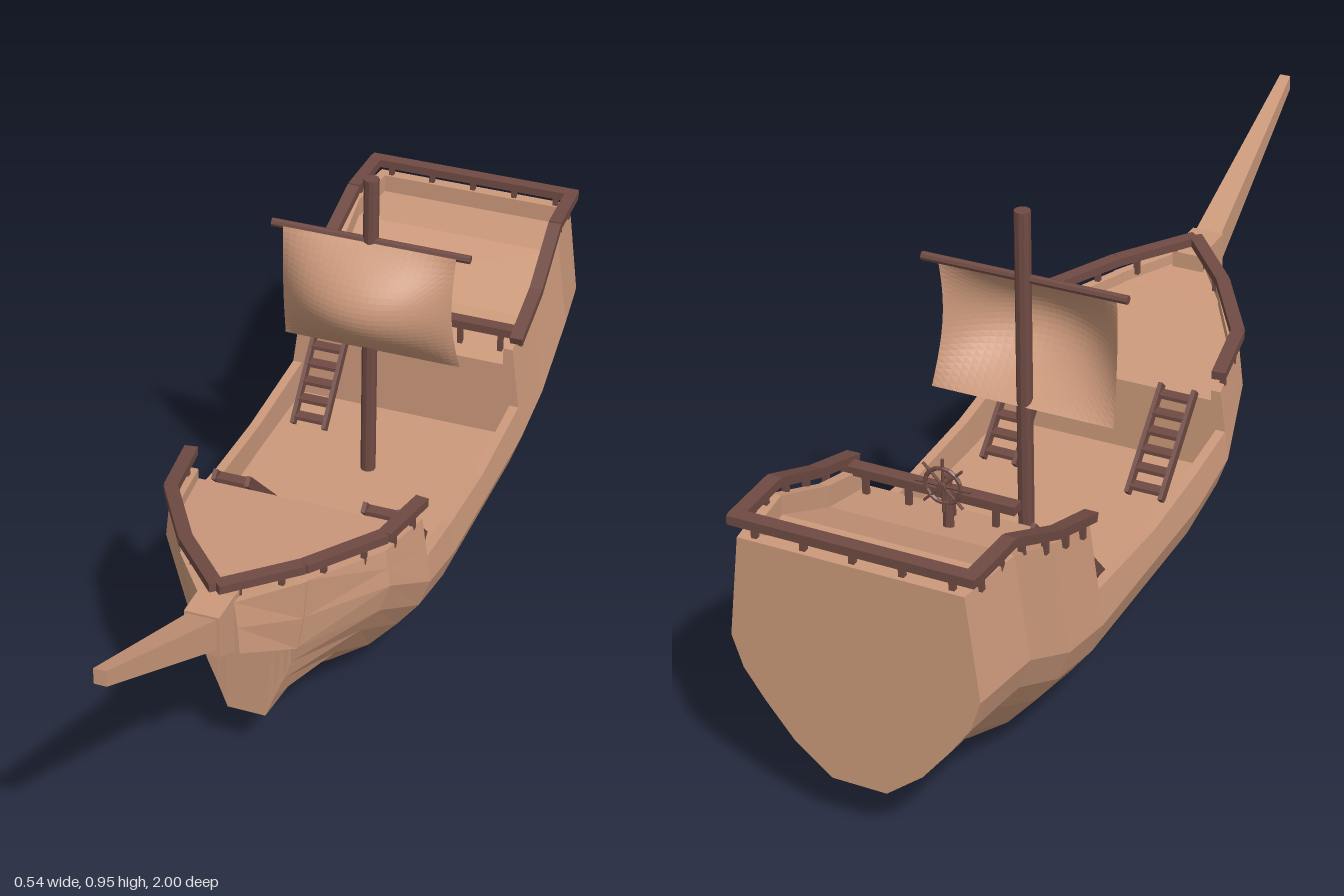
import * as THREE from 'three';

const wood = new THREE.MeshStandardMaterial({ color: 0xcc997b, side: THREE.DoubleSide, flatShading: true });
wood.name = 'tan wood';
const dark = new THREE.MeshStandardMaterial({ color: 0x6f4a43, flatShading: true });
dark.name = 'dark wood';

const V = (x, y, z) => new THREE.Vector3(x, y, z);

function add(parent, name, geometry, material, x = 0, y = 0, z = 0) {
  const m = new THREE.Mesh(geometry, material);
  m.name = name;
  m.position.set(x, y, z);
  parent.add(m);
  return m;
}

function group(parent, name) {
  const g = new THREE.Group();
  g.name = name;
  parent.add(g);
  return g;
}

// Square beam running from a to b
function beam(parent, name, a, b, w, h, material = dark) {
  const m = add(parent, name, new THREE.BoxGeometry(w, h, a.distanceTo(b)), material);
  m.position.copy(a).lerp(b, 0.5);
  m.lookAt(b);
  return m;
}

// Skin closed rings (ordered back to front) and cap both ends
function loft(rings) {
  const pos = [];
  const tri = (...p) => p.forEach(v => pos.push(v.x, v.y, v.z));
  const n = rings[0].length;
  for (let r = 0; r < rings.length - 1; r++) {
    const A = rings[r], B = rings[r + 1];
    for (let i = 0; i < n; i++) {
      const j = (i + 1) % n;
      tri(A[i], A[j], B[j]);
      tri(A[i], B[j], B[i]);
    }
  }
  const first = rings[0], last = rings[rings.length - 1];
  for (let i = 1; i < n - 1; i++) {
    tri(first[0], first[i + 1], first[i]);
    tri(last[0], last[i], last[i + 1]);
  }
  const g = new THREE.BufferGeometry();
  g.setAttribute('position', new THREE.Float32BufferAttribute(pos, 3));
  g.computeVertexNormals();
  return g;
}

// Mirror a half section (keel to deck) into a full ring
const ring = (half, z) => [
  ...half.map(([x, y]) => V(x, y, z)),
  ...half.slice().reverse().map(([x, y]) => V(-x, y, z)),
];
const boxRing = (z, w, y0, y1) => ring([[w, y0], [w, y1]], z);

// Hull section: curved bilge, bulwark top, inner wall and deck edge
const bilge = [[0.06, 0], [0.14, 0.06], [0.2, 0.13], [0.245, 0.19], [0.268, 0.255]];
const topWidth = h => 0.268 - 0.028 * Math.max(0, (h - 0.255) / 0.21);
function section([z, lift, scale, top, deck]) {
  const half = bilge.map(([x, y]) => [x * scale, y + lift]);
  const mid = (0.255 + lift + top) / 2;
  const w = topWidth(top - lift) * scale;
  half.push([topWidth(mid - lift) * scale, mid], [w, top], [w - 0.02, top], [w - 0.02, deck]);
  return ring(half, z);
}

function buildHull(ship) {
  // z, lift, width scale, bulwark top, deck height
  const stations = [
    [-1, 0.115, 0.92, 0.58, 0.58], [-0.975, 0.115, 0.935, 0.58, 0.58],
    [-0.975, 0.115, 0.935, 0.58, 0.54], [-0.85, 0.115, 1, 0.58, 0.54],
    [-0.69, 0.03, 1, 0.51, 0.465], [-0.545, 0, 1, 0.47, 0.43],
    [-0.545, 0, 1, 0.33, 0.255], [-0.3, 0, 1, 0.315, 0.255],
    [-0.1, 0, 1, 0.325, 0.255], [0.05, 0.03, 1, 0.345, 0.255],
    [0.05, 0.03, 1, 0.433, 0.41], [0.2, 0.115, 0.88, 0.452, 0.428],
  ].map(section);
  // Bow: flat stem plate, then a raked chin closing to the bowsprit
  const bowTop = [[0.122, 0.38], [0.13, 0.47], [0.11, 0.47], [0.11, 0.446]];
  const stem = [[0.04, 0.115], [0.06, 0.17], [0.08, 0.22], [0.095, 0.265], [0.11, 0.305]];
  stations.push(
    ring([...stem, ...bowTop], 0.365),
    ring([...stem.map(([x]) => [x, 0.305]), ...bowTop], 0.37),
    ring([...stem.map(([x]) => [x * 0.41, 0.37]), [0.042, 0.43], [0.035, 0.487], [0.015, 0.487], [0.015, 0.465]], 0.5),
  );
  add(ship, 'hull', loft(stations), wood);
  add(ship, 'bowspritSocket', loft([boxRing(0.46, 0.035, 0.355, 0.495), boxRing(0.5, 0.035, 0.372, 0.5), boxRing(0.57, 0.035, 0.41, 0.5)]), wood);
  add(ship, 'bowsprit', loft([boxRing(0.5, 0.031, 0.4, 0.465), boxRing(0.57, 0.029, 0.425, 0.495), boxRing(1, 0.012, 0.657, 0.69)]), wood);
}

// Handrail along points, with posts down to the bulwark
function rail(ship, name, points, drop, posts) {
  const g = group(ship, name);
  points.slice(1).forEach((b, i) => {
    const a = points[i];
    beam(g, 'handrail', a, b, 0.028, 0.018);
    for (let k = 0; k < posts; k++) {
      const p = a.clone().lerp(b, (k + 0.5) / posts);
      add(g, 'post', new THREE.BoxGeometry(0.011, drop, 0.011), dark, p.x, p.y - drop / 2, p.z);
    }
  });
}

function buildRails(ship) {
  for (const s of [1, -1]) {
    rail(ship, s > 0 ? 'leftBowRail' : 'rightBowRail',
      [V(s * 0.245, 0.472, 0.045), V(s * 0.222, 0.485, 0.2), V(s * 0.12, 0.5, 0.365), V(0, 0.514, 0.5)], 0.045, 2);
    rail(ship, s > 0 ? 'leftSternRail' : 'rightSternRail',
      [V(s * 0.245, 0.49, -0.55), V(s * 0.243, 0.535, -0.69), V(s * 0.232, 0.608, -0.85), V(s * 0.228, 0.61, -0.99)], 0.04, 2);
  }
  rail(ship, 'transomRail', [V(-0.24, 0.61, -0.986), V(0.24, 0.61, -0.986)], 0.04, 5);
  rail(ship, 'quarterdeckRail', [V(-0.115, 0.49, -0.585), V(0.245, 0.49, -0.585)], 0.055, 4);
}

// Ladder-like stair climbing from the main deck
function stair(ship, name, x, zLow, zHigh, yHigh) {
  const g = group(ship, name);
  const low = V(x, 0.262, zLow), high = V(x, yHigh, zHigh);
  for (const s of [-0.036, 0.036]) {
    beam(g, 'stringer', low.clone().setX(x + s), high.clone().setX(x + s), 0.009, 0.022);
  }
  for (let i = 0; i < 6; i++) {
    const p = low.clone().lerp(high, (i + 0.5) / 6);
    add(g, 'tread', new THREE.BoxGeometry(0.068, 0.008, 0.026), dark, p.x, p.y, p.z);
  }
}

function buildRig(ship) {
  add(ship, 'mast', new THREE.CylinderGeometry(0.016, 0.016, 0.695, 10), dark, 0, 0.6025, -0.32);
  const yard = add(ship, 'yard', new THREE.CylinderGeometry(0.009, 0.009, 0.424, 8), dark, 0, 0.81, -0.317);
  yard.rotation.z = Math.PI / 2;

  // Billowing sail, fullest in the middle
  const geo = new THREE.PlaneGeometry(2, 1, 24, 24);
  const p = geo.attributes.position;
  for (let i = 0; i < p.count; i++) {
    const u = p.getX(i), v = 0.5 - p.getY(i);
    const belly = Math.sin(Math.PI * v);
    p.setXYZ(i,
      u * (0.185 + 0.006 * v - 0.006 * belly),
      0.81 - 0.268 * v,
      -0.308 - 0.026 * v + 0.108 * belly * (0.2 + 0.8 * (1 - u * u)));
  }
  geo.computeVertexNormals();
  add(ship, 'sail', geo, wood);
}

function buildWheel(ship) {
  const g = group(ship, 'steeringWheel');
  g.position.set(0, 0.548, -0.655);
  add(g, 'rim', new THREE.TorusGeometry(0.036, 0.0045, 6, 16), dark);
  add(g, 'hub', new THREE.CylinderGeometry(0.009, 0.009, 0.03, 8), dark, 0, 0, 0.006).rotation.x = Math.PI / 2;
  for (let i = 0; i < 4; i++) {
    add(g, 'spoke', new THREE.CylinderGeometry(0.003, 0.003, 0.112, 6), dark).rotation.z = i * Math.PI / 4;
  }
  add(g, 'pedestal', new THREE.CylinderGeometry(0.008, 0.011, 0.12, 8), dark, 0, -0.045, 0.018);
}

export function createModel() {
  const ship = new THREE.Group();
  ship.name = 'sailingShip';
  buildHull(ship);
  buildRails(ship);
  stair(ship, 'leftBowStair', 0.16, -0.12, 0.045, 0.425);
  stair(ship, 'rightBowStair', -0.16, -0.12, 0.045, 0.425);
  stair(ship, 'quarterdeckStair', -0.17, -0.41, -0.565, 0.44);
  buildRig(ship);
  buildWheel(ship);
  return ship;
}
